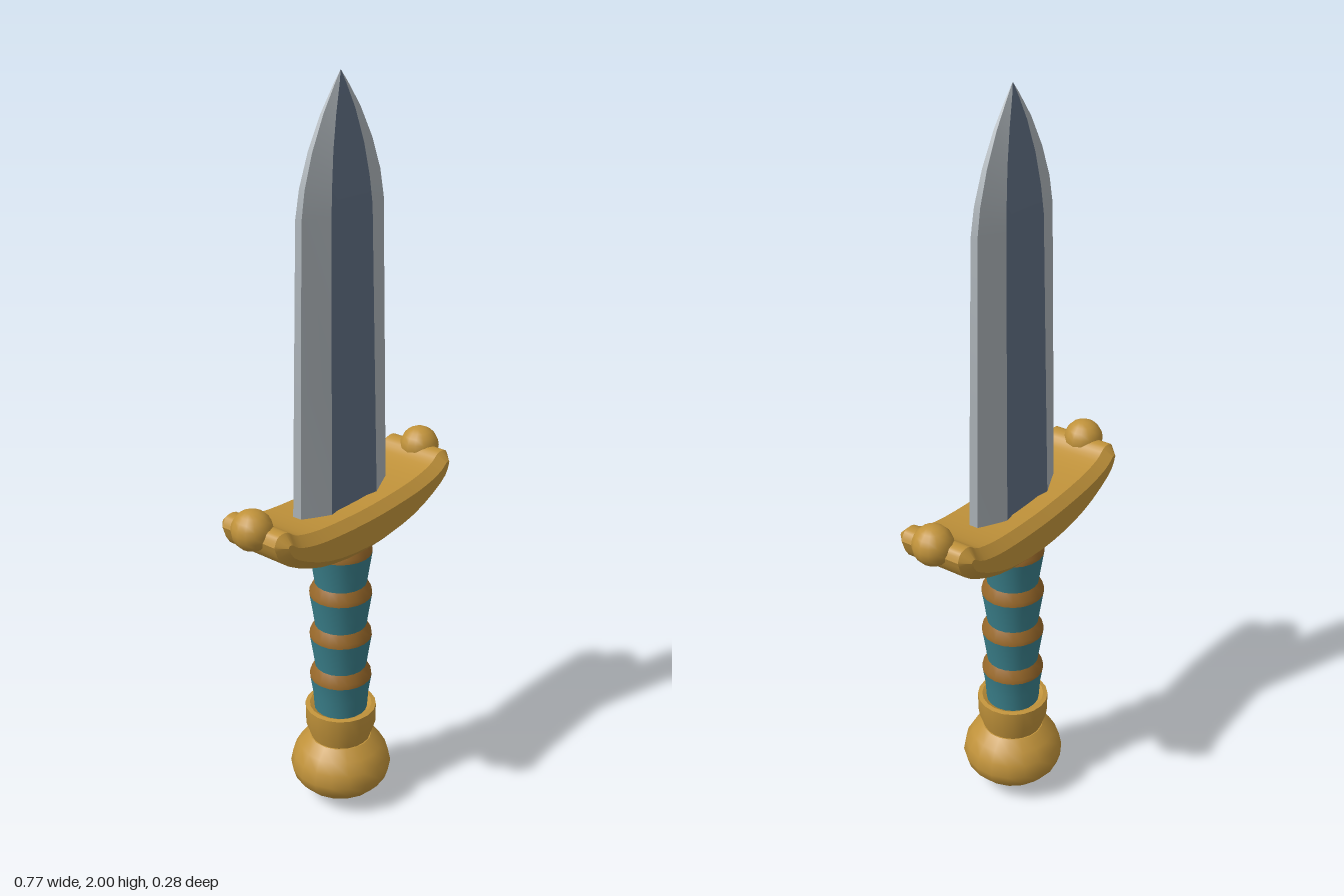
import * as THREE from 'three';
import { toCreasedNormals } from 'three/addons/utils/BufferGeometryUtils.js';

const paint = (name, color) => {
  const m = new THREE.MeshStandardMaterial({ color });
  m.name = name;
  return m;
};

export function createModel() {
  const gold = paint('gold', 0xc0923a);
  const bronze = paint('bronze', 0x99692a);
  const teal = paint('teal', 0x3a7f8a);
  const steel = paint('steel', 0xa9b0b5);
  const darkSteel = paint('darkSteel', 0x5f6e82);

  const model = new THREE.Group();
  model.name = 'dagger';
  const add = (name, geometry, material, parent = model) => {
    const mesh = new THREE.Mesh(geometry, material);
    mesh.name = name;
    parent.add(mesh);
    return mesh;
  };
  const lathe = (points, segments = 20, crease = 0.6) => toCreasedNormals(
    new THREE.LatheGeometry(points.map(([r, y]) => new THREE.Vector2(r, y)), segments), crease);

  // Blade stations: y, half width, ridge x, ridge z
  const stations = [
    [0.86, 0.17, 0.09, 0.048], [1.25, 0.161, 0.083, 0.042], [1.68, 0.15, 0.075, 0.036],
    [1.75, 0.137, 0.068, 0.032], [1.83, 0.108, 0.055, 0.025], [1.91, 0.066, 0.034, 0.016],
    [1.97, 0.024, 0.012, 0.007], [2, 0.001, 0.0005, 0.0005],
  ];
  const section = ([y, w, r, t]) => {
    const half = [[w, t * 0.27], [r, t], [r * 0.62, t * 0.85], [-r * 0.62, t * 0.85], [-r, t], [-w, t * 0.27]];
    return [...half, ...half.map(([x, z]) => [-x, -z])].map(([x, z]) => [x, y, z]);
  };
  const bladeStrips = (strips) => {
    const pos = [];
    const rows = stations.map(section);
    for (let i = 0; i < rows.length - 1; i++) {
      for (const s of strips) {
        const n = (s + 1) % 12;
        const a = rows[i][s], b = rows[i][n], A = rows[i + 1][s], B = rows[i + 1][n];
        pos.push(...a, ...A, ...B, ...a, ...B, ...b);
      }
    }
    const g = new THREE.BufferGeometry();
    g.setAttribute('position', new THREE.Float32BufferAttribute(pos, 3));
    return toCreasedNormals(g, 0.22);
  };
  const blade = new THREE.Group();
  blade.name = 'blade';
  model.add(blade);
  add('bladeEdges', bladeStrips([0, 4, 5, 6, 10, 11]), steel, blade);
  add('bladeFuller', bladeStrips([1, 2, 3, 7, 8, 9]), darkSteel, blade);

  // Curved, bevelled crossguard
  const v = ([x, y]) => new THREE.Vector2(x, y);
  const shape = new THREE.Shape();
  shape.moveTo(-0.345, 0.94);
  shape.splineThru([[-0.31, 0.88], [-0.175, 0.818], [0, 0.797], [0.175, 0.818], [0.31, 0.88], [0.345, 0.94]].map(v));
  shape.splineThru([[0.332, 0.963], [0.3, 0.965], [0.262, 0.942], [0.17, 0.924], [0, 0.916],
    [-0.17, 0.924], [-0.262, 0.942], [-0.3, 0.965], [-0.332, 0.963], [-0.345, 0.94]].map(v));
  const guard = new THREE.ExtrudeGeometry(shape, {
    depth: 0.172, curveSegments: 3, bevelEnabled: true, bevelSegments: 1,
    bevelSize: 0.024, bevelThickness: 0.024, bevelOffset: -0.024,
  });
  guard.translate(0, 0, -0.086);
  add('crossguard', toCreasedNormals(guard, 0.6), gold);

  // Ball finials on the guard tips
  for (const side of [1, -1]) {
    const ball = add(side > 0 ? 'leftFinial' : 'rightFinial', new THREE.SphereGeometry(0.053, 14, 10), gold);
    ball.position.set(side * 0.33, 0.955, 0);
  }

  // Grip: flared wrap sections separated by bands
  for (let i = 0; i < 4; i++) {
    const top = 0.384 + i * 0.127;
    const bottom = i === 0 ? 0.25 : top - 0.091;
    add('gripWrap' + (i + 1), lathe([[0.07, bottom], [0.076, top - 0.05], [0.084, top]]), teal);
    add('gripBand' + (i + 1), lathe([[0.084, top], [0.083, top + 0.012], [0.07, top + 0.036]]), bronze);
  }

  // Collar below the grip
  add('collar', lathe([[0.08, 0.18], [0.082, 0.195], [0.096, 0.235], [0.097, 0.29], [0.085, 0.292], [0.065, 0.28]]), gold);

  // Round pommel with a shallow underside
  add('pommel', lathe([[0, 0], [0.055, 0.006], [0.108, 0.045], [0.13, 0.07], [0.139, 0.1],
    [0.132, 0.135], [0.114, 0.167], [0.085, 0.193], [0, 0.2]], 18, 0.65), gold);

  return model;
}
